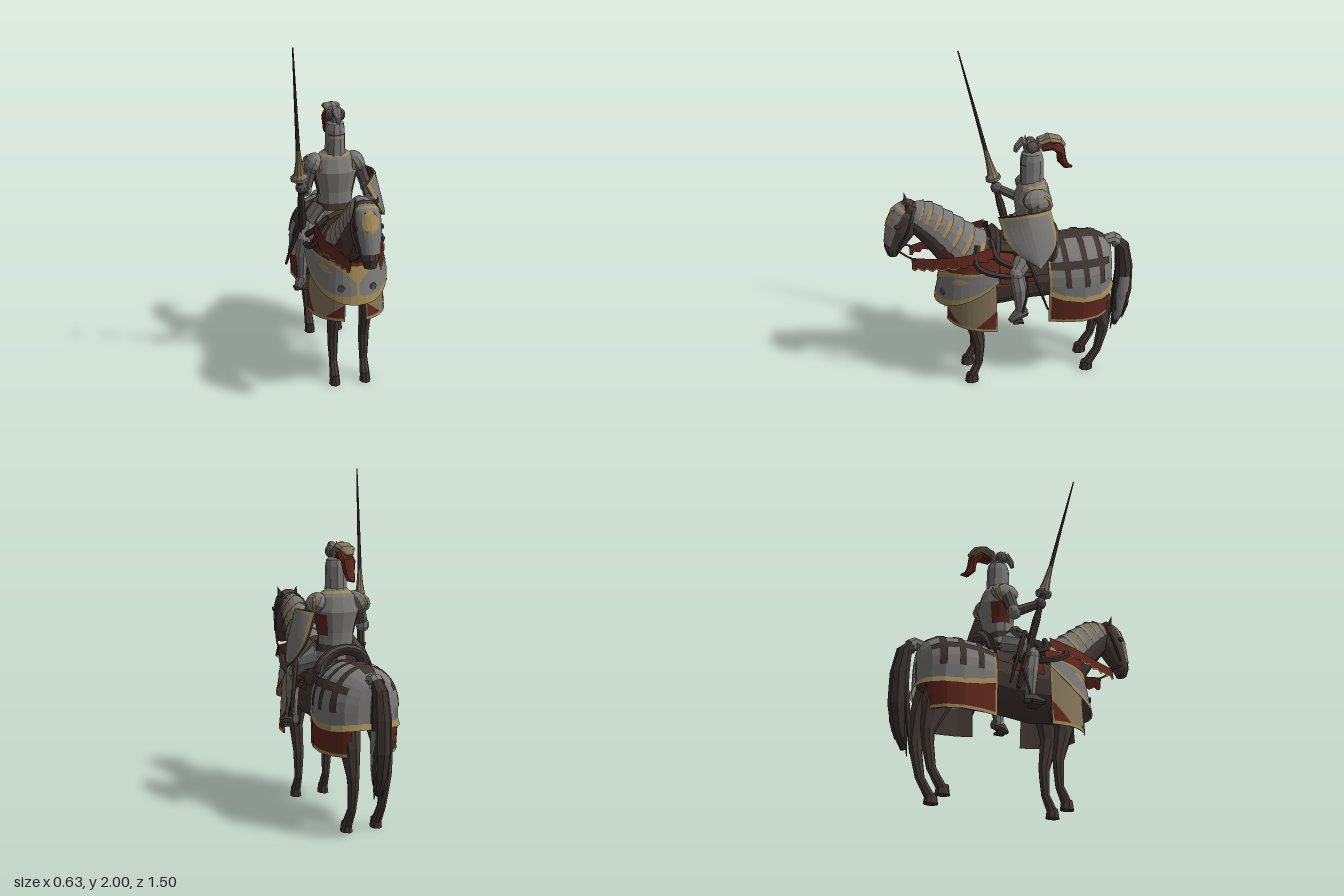
import * as THREE from 'three';

const paint = (name, color) => new THREE.MeshStandardMaterial({ name, color, flatShading: true, side: THREE.DoubleSide });
const steel = paint('steel', 0x7a7976), gold = paint('gold trim', 0xa08a56), red = paint('red cloth', 0x60271d);
const beige = paint('beige cloth', 0x86775c), hide = paint('horse hide', 0x453a35), strap = paint('leather', 0x3f3430);
const hair = paint('tail hair', 0x3a322f), dark = paint('dark iron', 0x55504d);
const { PI, sin, cos, abs, max } = Math, lerp = THREE.MathUtils.lerp, V3 = (...p) => new THREE.Vector3(...p);

// Surface patch over a parameter rectangle
function grid(fn, u0, u1, nu, v0, v1, nv) {
  const pos = [], idx = [], w = nu + 1;
  for (let j = 0; j <= nv; j++) for (let i = 0; i <= nu; i++)
    pos.push(...fn(lerp(u0, u1, i / nu), lerp(v0, v1, j / nv)));
  for (let j = 0; j < nv; j++) for (let i = 0; i < nu; i++) {
    const a = j * w + i;
    idx.push(a, a + 1, a + w, a + 1, a + w + 1, a + w);
  }
  const g = new THREE.BufferGeometry();
  g.setAttribute('position', new THREE.Float32BufferAttribute(pos, 3));
  g.setIndex(idx);
  g.computeVertexNormals();
  return g;
}

// Point on a swept ellipse; each ring is [x, y, z, half width, half depth]
function at(rings, t, th, k = 1) {
  const n = rings.length - 1, i = Math.min(Math.floor(t), n - 1), f = t - i;
  const tan = j => {
    const a = rings[max(j - 1, 0)], b = rings[Math.min(j + 1, n)];
    return V3(b[0] - a[0], b[1] - a[1], b[2] - a[2]).normalize();
  };
  const T = tan(i).lerp(tan(i + 1), f).normalize();
  const U = V3(1, 0, 0).addScaledVector(T, -T.x).normalize(), W = T.clone().cross(U);
  const r = rings[i].map((c, m) => lerp(c, rings[i + 1][m], f));
  return V3(r[0], r[1], r[2]).addScaledVector(U, r[3] * k * cos(th)).addScaledVector(W, r[4] * k * sin(th)).toArray();
}
// Closed solid through the rings
function loft(rings, seg = 10) {
  const cap = r => [r[0], r[1], r[2], 0, 0], full = [cap(rings[0]), ...rings, cap(rings.at(-1))];
  return grid((th, t) => at(full, t, th), 0, 2 * PI, seg, 0, full.length - 1, full.length - 1);
}
const cord = (pts, r) => new THREE.TubeGeometry(new THREE.CatmullRomCurve3(pts.map(p => V3(...p))), 14, r, 5);

export function createModel() {
  const root = new THREE.Group();
  root.name = 'mountedKnight';
  const add = (name, geo, mat, p = [0, 0, 0], s = [1, 1, 1], r = [0, 0, 0]) => {
    const m = new THREE.Mesh(geo, mat);
    m.name = name;
    m.position.set(...p); m.scale.set(...s); m.rotation.set(...r);
    root.add(m);
  };
  const ball = new THREE.SphereGeometry(1, 10, 7), cone = new THREE.ConeGeometry(1, 1, 6);
  const sides = fn => [1, -1].forEach(fn);

  // Horse body, neck, head and tail
  const body = [[0, .74, -.58, .09, .12], [0, .74, -.48, .17, .17], [0, .73, -.3, .18, .18], [0, .72, -.1, .17, .175],
    [0, .72, .1, .175, .2], [0, .73, .25, .17, .19], [0, .74, .37, .11, .14]];
  const neck = [[0, .8, .2, .14, .17], [0, .93, .33, .1, .145], [0, 1.05, .44, .08, .12], [0, 1.14, .54, .068, .105], [0, 1.17, .6, .055, .07]];
  const head = [[0, 1.23, .575, .048, .04], [0, 1.17, .61, .074, .085], [0, 1.08, .645, .072, .09], [0, 1, .68, .056, .067],
    [0, .95, .7, .048, .052], [0, .905, .703, .034, .03]];
  add('horseBody', loft(body, 14), hide);
  add('horseNeck', loft(neck, 12), hide);
  add('horseHead', loft(head, 10), hide);
  const tail = [[0, .86, -.55, .03, .03], [0, .88, -.62, .035, .03], [0, .82, -.675, .045, .045], [0, .68, -.695, .055, .055],
    [0, .5, -.695, .055, .058], [0, .36, -.68, .045, .045], [0, .25, -.655, .015, .015]];
  add('tail', loft(tail, 9), hair);
  for (let i = 0; i < 6; i++) {
    const x = -.045 + i * .018, z = -.65 - (i % 3) * .03;
    add('tailStrand', loft([[x * .6, .62, z - .01, .015, .015], [x, .42, z, .016, .016], [x, .22 + (i % 3) * .05, z + .02, .003, .003]], 5), hair);
  }
  add('tailGuard', grid((th, t) => at(tail, t, th, 1.2), 0, 2 * PI, 9, .1, 1.4, 3), steel);
  add('tailPaleHair', grid((th, t) => at(tail, t, th + .2 * sin(t * 5), 1.08), -.4, .75, 4, 3.3, 5.6, 6), steel);

  sides(s => {
    // Horse legs, hooves, ears and eyes
    add('foreleg', loft([[s * .09, .66, .23, .06, .09], [s * .095, .46, .255, .04, .058], [s * .093, .29, .22, .032, .036],
      [s * .093, .24, .22, .031, .032], [s * .092, .13, .225, .024, .025], [s * .092, .075, .25, .028, .028], [s * .092, .04, .265, .03, .03]], 8), hide);
    add('hindleg', loft([[s * .09, .68, -.44, .07, .12], [s * .1, .48, -.52, .05, .08], [s * .1, .34, -.555, .035, .042],
      [s * .095, .27, -.55, .031, .036], [s * .092, .14, -.525, .024, .028], [s * .092, .08, -.49, .028, .028], [s * .092, .04, -.465, .03, .03]], 8), hide);
    for (const z of [.268, -.458]) add('hoof', new THREE.CylinderGeometry(.03, .038, .055, 8), strap, [s * .092, .0275, z], [.9, 1, 1.15]);
    add('ear', cone, hide, [s * .055, 1.235, .61], [.022, .07, .018], [.1, 0, -s * .3]);
    add('horseEye', ball, strap, [s * .07, 1.12, .67], [.01, .015, .018]);
    add('cheekStrap', cord([[s * .05, 1.21, .58], [s * .078, 1.1, .61], [s * .06, .98, .67]], .008), strap);

    // Decorated reins
    const rein = new THREE.CatmullRomCurve3([V3(s * .07, .89, .6), V3(s * .12, .9, .47), V3(s * .17, .93, .3), V3(s * .17, .97, .14)]);
    const reinAt = (u, v) => { const p = rein.getPoint(u); return [p.x + s * v * .015, p.y + .02 - v * (.07 + .01 * sin(u * 50)), p.z]; };
    add('rein', grid(reinAt, 0, 1, 24, 0, 1, 1), red);
    add('reinHem', grid((u, v) => { const p = reinAt(u, v); return [p[0] + s * .003, p[1], p[2]]; }, 0, .6, 14, .9, 1, 1), gold);
    add('bitCord', cord([[s * .05, .96, .68], [s * .07, .92, .62], [s * .08, .9, .58]], .006), strap);
    add('shoulderStrap', cord([[s * .12, .98, .22], [s * .19, .89, .24], [s * .212, .82, .1], [s * .2, .8, -.1]], .018), strap);
    add('saddleStrap', cord([[s * .1, 1, .14], [s * .18, .92, .12], [s * .2, .86, .03], [s * .19, .75, -.04]], .018), strap);
    add('saddleFlap', grid((th, t) => at(body, t, th, 1.1), s > 0 ? .3 : PI - 1.2, s > 0 ? 1.2 : PI - .3, 5, 2.55, 3.25, 2), strap);

    // Lined skirt cloth beside the forelegs
    const cloth = (u, v, k = 1) => {
      const a = lerp(.28, 1.62, u), w = .225 * k * lerp(1, .88, v);
      return [s * w * sin(a), lerp(.44 + .02 * (1 - u), .83, v), .14 + .275 * k * cos(a) * lerp(1, .95, v)];
    };
    add('foreSkirt', grid(cloth, 0, 1, 10, 0, 1, 4), beige);
    add('foreSkirtLining', grid((u, v) => cloth(u, v, .98), 0, 1, 10, 0, 1, 4), hide);
    add('foreSkirtHem', grid((u, v) => cloth(u, v, 1.008), 0, 1, 10, 0, .045, 1), gold);
    add('foreSkirtEdge', grid((u, v) => cloth(u, v, 1.008), .975, 1, 1, 0, 1, 3), gold);
    add('rearCornerPatch', grid((u, v) => cloth(1 - (1 - u) * (1 - v), .05 + .32 * v, 1.01), .66, .975, 4, 0, 1, 5), red);
    add('frontCornerPatch', grid((u, v) => cloth(.02 + u * (1 - v), .05 + .22 * v, 1.01), 0, .36, 4, 0, 1, 5), red);
  });

  // Chest plate with gold borders
  const chest = (u, v, k = 1) => {
    const a = u * 1.68, w = .232 * k * lerp(1, .9, v);
    return [w * sin(a), lerp(.585 + .2 * abs(u) ** 2.5, .8 + .05 * abs(u), v), .15 + (.32 - .04 * v) * k * cos(a)];
  };
  add('chestPlate', grid(chest, -1, 1, 18, 0, 1, 3), steel);
  add('chestPlateLining', grid((u, v) => chest(u, v, .98), -1, 1, 18, 0, 1, 3), hide);
  add('chestPlateLowerBorder', grid((u, v) => chest(u, v * (.17 + .1 * (1 - abs(u)) ** 6), 1.008), -1, 1, 18, 0, 1, 1), gold);
  add('chestPlateUpperBorder', grid((u, v) => chest(u, 1 - v * (.1 + .38 * (1 - abs(u)) ** 6), 1.008), -1, 1, 24, 0, 1, 2), gold);
  add('chestPlateRidge', grid((u, v) => chest(u, v, 1.01), -.02, .02, 2, 0, 1, 3), gold);
  add('chestCollar', grid((u, v) => [.2 * lerp(1, .85, v) * sin(u), lerp(.8, .91, v), .14 + .29 * lerp(1, .97, v) * cos(u)], -1.7, 1.7, 14, 0, 1, 1), red);
  sides(s => {
    add('rosette', new THREE.CylinderGeometry(.021, .021, .008, 8), dark, chest(s * .25, .38, 1.012), [1, 1, 1], [PI / 2, 0, -s * .42]);
    add('chestInlay', grid((u, v) => chest(s * (.52 + u * (1 - v * v)), .72 + v * .1, 1.01), -.13, .13, 5, -1, 1, 4), gold);
  });

  // Overlapping neck lames and face plate
  const lameAt = (t, th, k) => at(neck, Math.min(3.9, t + .17 * (1 - abs(th - PI / 2))), th, k);
  for (let i = 0; i < 7; i++) {
    const t0 = .45 + i * .46;
    add('neckLame', grid((th, v) => lameAt(t0 + v * .5, th, lerp(1.14, 1.04, v)), -.2, PI + .2, 10, 0, 1, 1), steel);
    for (const a of [.1, PI - .9]) add('neckLameInlay', grid((th, v) => lameAt(t0 + v * .16, th, 1.15 - v * .015), a, a + .8, 3, 0, 1, 1), gold);
  }
  for (const a of [-.45, PI + .22]) add('neckFringe', grid((th, t) => at(neck, t, th, 1.06), a, a + .23, 2, .6, 1.5, 4), red);
  add('facePlate', grid((th, t) => at(head, t, th, 1.06), .42, PI - .42, 8, .3, 3.5, 6), steel);
  add('facePlateInlay', grid((th, t) => at(head, t, PI / 2 + th * sin((t - .8) * 2.2), 1.08), -.65, .65, 4, .8, 2.2, 5), gold);
  add('browBand', grid((th, t) => at(head, t, th, 1.08), .4, PI - .4, 8, .5, .68, 1), gold);

  // Rump armour: arches along z, [z, half width, top]
  const arches = [[-.19, .19, .915], [-.28, .218, .93], [-.4, .23, .937], [-.5, .205, .93], [-.56, .155, .9], [-.595, .09, .86], [-.607, .02, .83]];
  const archAt = z => {
    let i = 0;
    while (i < arches.length - 2 && z < arches[i + 1][0]) i++;
    const f = (z - arches[i][0]) / (arches[i + 1][0] - arches[i][0]);
    return [lerp(arches[i][1], arches[i + 1][1], f), lerp(arches[i][2], arches[i + 1][2], f)];
  };
  const rimY = z => .6 + .05 * ((z + .45) / .26) ** 2;
  const rump = (s, z, off = 0) => {
    const [w, top] = archAt(z), q = Math.min(abs(s) / .6, 1) * PI / 2, low = max(abs(s) - .6, 0) / .4;
    return [Math.sign(s) * (w + off) * sin(q), lerp(.7 + (top - .7 + off) * cos(q), rimY(z), low), z - off * .3];
  };
  add('rumpPlate', grid((s, v) => { const i = Math.min(Math.floor(v), 5); return rump(s, lerp(arches[i][0], arches[i + 1][0], v - i)); }, -1, 1, 20, 0, 6, 12), steel);
  add('rumpPlateEdge', grid((s, z) => rump(s, z, .003), -1, 1, 20, -.19, -.205, 1), gold);
  for (const z of [-.29, -.4, -.5]) add('rumpStrap', grid((s, v) => rump(s, z - .035 * abs(s) + v, .006), -.62, .62, 18, -.006, .029, 1), strap);
  for (const [s, w] of [[-.38, .04], [0, .08], [.38, .04]]) add('rumpLongStrap', grid((v, z) => rump(s + v, z, .005), -w, w, 2, -.2, -.56, 8), strap);
  // Skirt panels follow the same plan, open behind the tail
  const plan = (u, k) => {
    const f = abs(u) * 6, i = Math.min(Math.floor(f), 5), a = arches[6 - i], b = arches[5 - i];
    return [Math.sign(u) * lerp(i ? a[1] : 0, b[1], f - i) * k, -.19 + (lerp(a[0], b[0], f - i) + .19) * k];
  };
  const wall = (name, y0, y1, k0, k1, mat, s, u0, u1 = 1) => add(name, grid((u, v) => {
    const z = plan(s * u, 1)[1], [x, zk] = plan(s * u, lerp(k0, k1, v));
    return [x, lerp(y0(z), y1(z), v), zk];
  }, u0, u1, 14, 0, 1, 2), mat);
  const hem = () => .45, hemTop = () => .468;
  sides(s => {
    wall('rumpPlateBorder', z => rimY(z) - .012, z => rimY(z) + .022, 1.035, 1.004, gold, s, 0);
    wall('rumpSkirt', hem, rimY, .975, 1, red, s, .24);
    wall('rumpSkirtLining', hem, rimY, .955, .98, hide, s, .24);
    wall('rumpSkirtHem', hem, hemTop, .982, .983, gold, s, .24);
    wall('rumpSkirtEdge', hem, rimY, .983, 1.006, gold, s, .975);
  });

  // Saddle
  add('saddleCloth', grid((th, t) => at(body, t, th, 1.07), .1, PI - .1, 14, 3, 4, 4), red);
  add('seat', loft([[0, .92, -.2, .13, .05], [0, .9, -.06, .12, .05], [0, .93, .1, .11, .05]], 8), strap);
  add('pommel', new THREE.TorusGeometry(.12, .03, 5, 10, PI), strap, [0, .88, .13], [1.1, 1, 1], [-.2, 0, 0]);
  add('cantle', new THREE.TorusGeometry(.13, .035, 5, 10, PI), strap, [0, .86, -.2], [1.1, 1, .8], [-.25, 0, 0]);
  add('cantlePlate', new THREE.TorusGeometry(.135, .016, 5, 10, PI), dark, [0, .87, -.22], [1.1, 1, 1], [-.25, 0, 0]);

  // Rider torso and helmet
  const torso = [[0, .9, -.1, .14, .11], [0, 1.0, -.11, .105, .085], [0, 1.08, -.115, .105, .09], [0, 1.2, -.12, .135, .11], [0, 1.28, -.125, .115, .085], [0, 1.33, -.12, .055, .055]];
  add('cuirass', loft(torso, 12), steel);
  add('belt', grid((th, t) => at(torso, t, th, 1.05), 0, 2 * PI, 12, .7, 1.15, 1), strap);
  add('neckTrim', grid((th, t) => at(torso, t, th, 1.04), 0, 2 * PI, 12, 4.35, 4.6, 1), gold);
  sides(s => {
    const flank = (th, t, k) => at(torso, t, s > 0 ? th : PI - th, k);
    add('flankPatch', grid((th, t) => flank(th, t, 1.03), -.35, .8, 5, 1.8, 2.9, 3), red);
    add('breastTrim', grid((th, t) => flank(th, t, 1.03), -.55, -.42, 1, 1.7, 4, 4), gold);
  });
  const helm = [[0, 1.3, -.115, .062, .068], [0, 1.38, -.115, .06, .068], [0, 1.45, -.115, .059, .067], [0, 1.487, -.115, .052, .058], [0, 1.51, -.115, .028, .032]];
  add('helmet', loft(helm, 10), steel);
  add('eyeSlit', grid((th, t) => at(helm, t, th, 1.015), PI + .6, 2 * PI - .6, 6, 1.6, 1.72, 1), strap);
  add('helmetTrim', grid((th, t) => at(helm, t, th, 1.015), PI + .9, 2 * PI - .9, 4, 1.35, 1.5, 1), gold);

  // Helmet crest and plume
  add('crestHead', loft([[0, 1.48, -.11, .035, .04], [0, 1.54, -.09, .03, .03], [0, 1.565, -.06, .028, .025], [0, 1.53, -.03, .018, .02], [0, 1.5, -.02, .012, .012]], 8), steel);
  sides(s => {
    add('crestEar', cone, steel, [s * .022, 1.57, -.08], [.012, .045, .012]);
    add('crestWing', ball, dark, [s * .035, 1.535, -.11], [.025, .035, .035]);
  });
  add('plumeTop', loft([[0, 1.49, -.13, .025, .02], [0, 1.55, -.16, .042, .022], [0, 1.57, -.21, .053, .022], [0, 1.555, -.27, .048, .02], [0, 1.52, -.3, .02, .012]], 8), beige);
  add('plumeFeather', loft([[0, 1.5, -.13, .03, .02], [0, 1.56, -.165, .035, .028], [0, 1.575, -.2, .025, .022]], 7), steel);
  add('plumeTail', loft([[0, 1.51, -.17, .03, .02], [0, 1.525, -.23, .048, .025], [0, 1.49, -.28, .045, .028], [0, 1.43, -.288, .036, .028], [0, 1.39, -.315, .027, .018], [0, 1.38, -.35, .008, .006]], 8), red);

  sides(s => {
    // Shoulders, arms, legs
    add('pauldron', ball, steel, [s * .128, 1.245, -.125], [.05, .065, .085], [0, 0, s * .5]);
    add('pauldronTrim', new THREE.TorusGeometry(.064, .009, 4, 12), gold, [s * .135, 1.235, -.125], [1.25, .85, 1], [0, PI / 2 - s * .5, 0]);
    const elbow = [s * .185, 1.1, -.09], hand = s < 0 ? [-.235, 1.16, .05] : [.16, 1.06, .06];
    add('upperArm', loft([[s * .135, 1.25, -.12, .04, .045], [...elbow, .035, .035]], 8), dark);
    add('elbowGuard', ball, steel, elbow, [.04, .042, .045]);
    add('forearm', loft([[...elbow, .032, .032], [...hand, .026, .026]], 8), dark);
    add('gauntlet', ball, dark, hand, [.036, .036, .036]);
    add('thigh', loft([[s * .1, .94, -.1, .06, .07], [s * .175, .9, -.04, .055, .06], [s * .21, .83, .01, .042, .045]], 8), steel);
    add('tasset', loft([[s * .11, 1.01, -.06, .045, .04], [s * .185, .92, -.03, .05, .055]], 7), dark);
    add('kneeGuard', ball, steel, [s * .215, .83, .01], [.042, .045, .045]);
    add('shin', loft([[s * .215, .82, .01, .038, .042], [s * .225, .73, -.005, .04, .045], [s * .225, .6, -.01, .027, .03], [s * .225, .56, -.01, .03, .035]], 8), steel);
    add('foot', loft([[s * .22, .565, -.045, .028, .03], [s * .24, .56, .01, .035, .032], [s * .268, .54, .06, .018, .014]], 7), dark);
    add('stirrup', new THREE.BoxGeometry(.08, .012, .06), strap, [s * .24, .523, .01]);
    add('stirrupLeather', cord([[s * .17, .85, -.05], [s * .235, .72, -.05], [s * .255, .54, -.01]], .008), strap);
    // Scabbards hanging at the hips
    add('scabbard', loft([[s * .2, .98, -.03, .016, .016], [s * .235, .87, -.07, .018, .014], [s * .295, .61, -.16, .008, .006]], 6), strap);
    add('swordGuard', new THREE.BoxGeometry(.015, .015, .1), dark, [s * .205, .97, -.035], [1, 1, 1], [.3, 0, 0]);
  });

  // Curved shield on the left arm
  const shield = (u, v, off = 0) => {
    const w = .148 * (v < .35 ? 1 : 1 - ((v - .35) / .65) ** 2);
    return [.165 + .13 * v + .055 * (1 - u * u) * (1 - v * .7) - .03 * max(u, 0) * (1 - v) + off,
      1.2 - .305 * v - .04 * max(u, 0) * (1 - v) + .01 * (1 - u * u) * (1 - v), -.045 - .07 * v + u * w];
  };
  add('shieldBack', grid((u, v) => shield(u, v, -.012), -1, 1, 10, 0, 1, 10), strap);
  add('shieldRim', grid(shield, -1, 1, 10, 0, 1, 10), gold);
  add('shieldFace', grid((u, v) => shield(u, v, .005), -.87, .86, 10, .05, .92, 10), steel);

  // Lance in the right hand
  add('lanceShaft', loft([[-.264, 1.4, .109, .013, .013], [-.28, 1.6, .155, .01, .01], [-.312, 2, .25, .004, .004]], 7), strap);
  add('lanceFlare', loft([[-.248, 1.225, .068, .05, .043], [-.25, 1.25, .073, .032, .03], [-.256, 1.32, .09, .02, .02], [-.264, 1.4, .109, .013, .013]], 9), beige);
  add('lanceGuard', loft([[-.247, 1.215, .066, .056, .048], [-.248, 1.23, .07, .054, .046]], 9), steel);
  add('lanceButt', loft([[-.2, .63, -.07, .014, .014], [-.21, .75, -.042, .022, .022], [-.232, 1.05, .028, .024, .024], [-.238, 1.12, .045, .017, .017], [-.247, 1.22, .067, .018, .018]], 8), strap);
  return root;
}
